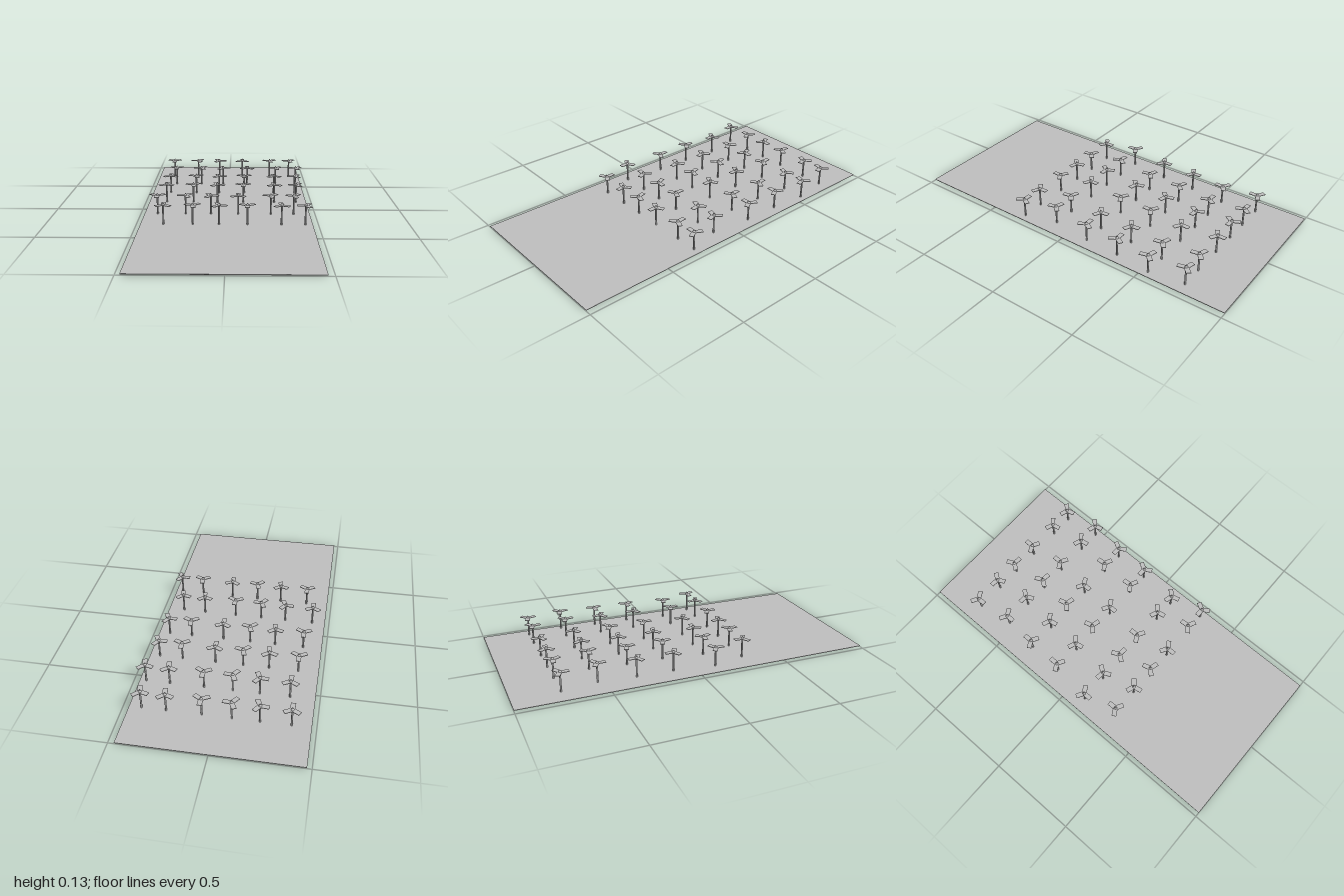
import * as THREE from 'three';

export function createModel() {
  const grey = new THREE.MeshStandardMaterial({ color: 0xc0c0c0 });
  grey.name = 'plain grey';

  const model = new THREE.Group();
  model.name = 'turbineField';

  const add = (parent, name, geometry, x, y, z) => {
    const mesh = new THREE.Mesh(geometry, grey);
    mesh.name = name;
    mesh.position.set(x, y, z);
    parent.add(mesh);
    return mesh;
  };

  // Thin ground sheet; the posts poke slightly through it
  add(model, 'ground', new THREE.BoxGeometry(0.943, 0.003, 2), -0.004, 0.0055, 0);

  // Shared turbine parts
  const postGeometry = new THREE.CylinderGeometry(0.005, 0.005, 0.118, 12);
  const capGeometry = new THREE.ConeGeometry(0.01, 0.015, 12);
  const bladeGeometry = new THREE.BoxGeometry(0.041, 0.003, 0.026);
  bladeGeometry.translate(0.0265, 0, 0);

  // One post with a pointed cap and three flat blades; angle runs from +x towards +z
  function turbine(x, z, degrees) {
    const group = new THREE.Group();
    group.name = 'turbine';
    group.position.set(x, 0, z);
    add(group, 'post', postGeometry, 0, 0.059, 0);
    add(group, 'cap', capGeometry, 0, 0.1245, 0);
    for (let i = 0; i < 3; i++) {
      const blade = add(group, 'blade', bladeGeometry, 0, 0.117, 0);
      blade.rotation.y = -THREE.MathUtils.degToRad(degrees + i * 120);
    }
    model.add(group);
  }

  // Staggered rows: z, x of the first turbine, and which set of rotor angles it uses
  const columns = [0, 0.16, 0.304, 0.459, 0.645, 0.775];
  const angles = [
    [90, 65, 5, 30, 80, 75],
    [30, 80, 15, 90, 25, 60],
  ];
  const rows = [
    [-0.742, -0.374, 0],
    [-0.54, -0.343, 0],
    [-0.332, -0.364, 1],
    [-0.126, -0.37, 1],
    [0.108, -0.4, 0],
    [0.295, -0.349, 1],
  ];
  for (const [z, startX, set] of rows) {
    columns.forEach((dx, i) => turbine(startX + dx, z, angles[set][i]));
  }

  return model;
}
